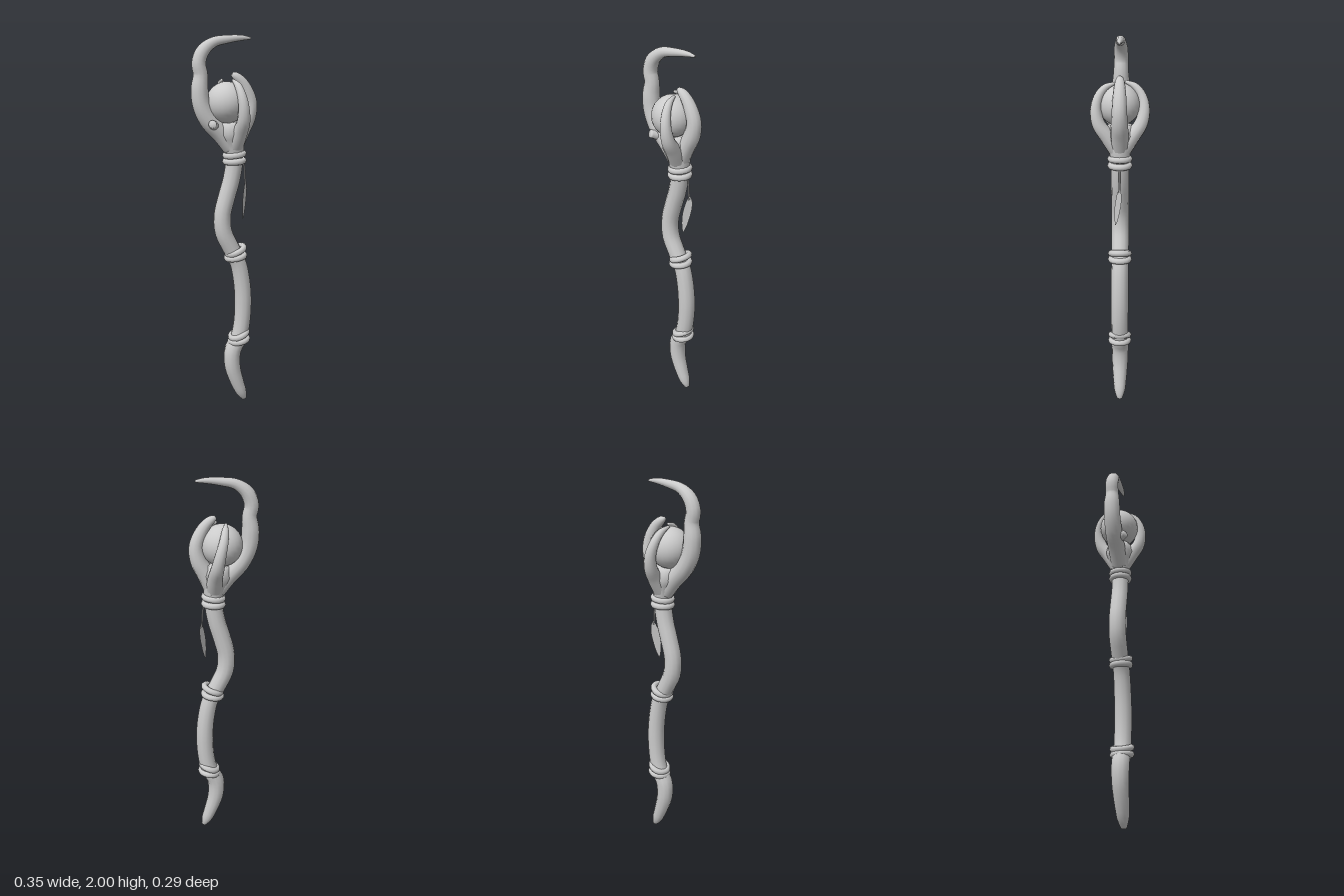
import * as THREE from 'three';

const mat = new THREE.MeshStandardMaterial({ color: 0xcccccc });
const thin = new THREE.MeshStandardMaterial({ color: 0xcccccc, side: THREE.DoubleSide });

// Capped tube through [x, y, z, radius] stations
function taperedTube(name, stations, steps, sides = 12) {
  const curve = new THREE.CatmullRomCurve3(stations.map(s => new THREE.Vector3(s[0], s[1], s[2])));
  const { normals, binormals } = curve.computeFrenetFrames(steps);
  const pos = [], idx = [], n = stations.length - 1, v = new THREE.Vector3();
  for (let i = 0; i <= steps; i++) {
    const u = i / steps, c = curve.getPointAt(u);
    const f = curve.getUtoTmapping(u) * n, k = Math.min(Math.floor(f), n - 1);
    const r = THREE.MathUtils.lerp(stations[k][3], stations[k + 1][3], f - k);
    for (let j = 0; j < sides; j++) {
      const a = (j / sides) * Math.PI * 2;
      v.copy(c).addScaledVector(normals[i], Math.cos(a) * r).addScaledVector(binormals[i], Math.sin(a) * r);
      pos.push(v.x, v.y, v.z);
      if (i < steps) {
        const p = i * sides + j, q = i * sides + (j + 1) % sides;
        idx.push(p, q, p + sides, q, q + sides, p + sides);
      }
    }
  }
  // End caps
  const s = curve.getPointAt(0), e = curve.getPointAt(1), c0 = pos.length / 3, last = steps * sides;
  pos.push(s.x, s.y, s.z, e.x, e.y, e.z);
  for (let j = 0; j < sides; j++) {
    const k = (j + 1) % sides;
    idx.push(c0, k, j, c0 + 1, last + j, last + k);
  }
  const g = new THREE.BufferGeometry();
  g.setAttribute('position', new THREE.Float32BufferAttribute(pos, 3));
  g.setIndex(idx);
  g.computeVertexNormals();
  const mesh = new THREE.Mesh(g, mat);
  mesh.name = name;
  return mesh;
}

// Pair of cord loops wrapped round the shaft
function binding(x, y, tilt) {
  const group = new THREE.Group();
  group.name = 'binding';
  [[-0.017, tilt * 0.4], [0.017, tilt]].forEach(([dy, t]) => {
    const ring = new THREE.Mesh(new THREE.TorusGeometry(0.047, 0.017, 8, 20), mat);
    ring.name = 'cordLoop';
    ring.rotation.set(Math.PI / 2, t, 0);
    ring.position.y = dy;
    group.add(ring);
  });
  group.position.set(x, y, 0);
  return group;
}

// Leaf-shaped feather hanging on a string
function feather() {
  const group = new THREE.Group();
  group.name = 'featherCharm';
  group.add(taperedTube('string', [[0.1, 1.38, 0, 0.004], [0.11, 1.32, 0, 0.004], [0.115, 1.24, 0, 0.004]], 8, 6));
  const shape = new THREE.Shape();
  shape.moveTo(0, 0);
  shape.bezierCurveTo(0.025, -0.01, 0.026, -0.07, 0.018, -0.12);
  shape.quadraticCurveTo(0.012, -0.18, -0.004, -0.21);
  shape.bezierCurveTo(-0.022, -0.17, -0.026, -0.1, -0.018, -0.06);
  shape.quadraticCurveTo(-0.014, -0.02, 0, 0);
  const vane = new THREE.Mesh(new THREE.ShapeGeometry(shape, 8), thin);
  vane.name = 'feather';
  vane.position.set(0.117, 1.26, 0);
  vane.rotation.set(0, Math.PI / 4, -0.13);
  group.add(vane);
  return group;
}

export function createModel() {
  const model = new THREE.Group();
  model.name = 'staff';

  // Crooked shaft, flaring into the claw
  model.add(taperedTube('shaft', [
    [0.118, 0.008, 0, 0.014], [0.1, 0.05, 0, 0.031], [0.07, 0.13, 0, 0.039],
    [0.046, 0.22, 0, 0.045], [0.048, 0.31, 0, 0.047], [0.082, 0.38, 0, 0.046],
    [0.1, 0.47, 0, 0.046], [0.106, 0.6, 0, 0.047], [0.096, 0.72, 0, 0.046],
    [0.074, 0.82, 0, 0.045], [0.03, 0.91, 0, 0.046], [-0.006, 0.99, 0, 0.047],
    [-0.012, 1.08, 0, 0.046], [0.012, 1.18, 0, 0.046], [0.038, 1.27, 0, 0.046],
    [0.054, 1.38, 0, 0.046], [0.046, 1.46, 0, 0.06], [0.035, 1.52, 0, 0.078], [0.03, 1.57, 0, 0.06],
  ], 60));

  // Cord bindings
  [[0.054, 1.382, 0.12], [0.062, 0.865, 0.4], [0.083, 0.385, 0.4]].forEach(b => model.add(binding(...b)));

  // Orb held by the claw
  const orb = new THREE.Mesh(new THREE.SphereGeometry(0.105, 24, 16), mat);
  orb.name = 'orb';
  orb.position.set(0.01, 1.667, 0.005);
  model.add(orb);

  // Long hooked horn
  model.add(taperedTube('hookHorn', [
    [0.04, 1.43, 0, 0.045], [-0.02, 1.51, 0, 0.048], [-0.085, 1.58, 0, 0.048],
    [-0.124, 1.66, 0, 0.046], [-0.132, 1.74, 0, 0.045], [-0.126, 1.81, 0, 0.037],
    [-0.136, 1.86, 0, 0.037], [-0.115, 1.92, 0, 0.035], [-0.06, 1.963, 0, 0.026],
    [0.02, 1.979, 0, 0.02], [0.09, 1.985, 0, 0.014], [0.138, 1.983, 0, 0.006],
  ], 44));

  // Three shorter claws: side, front and back
  model.add(taperedTube('sideClaw', [
    [0.05, 1.43, 0, 0.045], [0.09, 1.52, 0, 0.045], [0.126, 1.59, 0, 0.042],
    [0.138, 1.66, 0, 0.037], [0.12, 1.72, 0, 0.034], [0.09, 1.77, 0, 0.028],
    [0.06, 1.797, 0, 0.022], [0.04, 1.808, 0, 0.01],
  ], 26));
  model.add(taperedTube('frontClaw', [
    [0.05, 1.44, 0.01, 0.045], [0.062, 1.52, 0.065, 0.038], [0.066, 1.58, 0.105, 0.034],
    [0.062, 1.65, 0.118, 0.028], [0.054, 1.71, 0.106, 0.023], [0.045, 1.755, 0.075, 0.018],
    [0.037, 1.778, 0.025, 0.007],
  ], 26));
  model.add(taperedTube('backClaw', [
    [0.05, 1.44, -0.01, 0.045], [0.052, 1.52, -0.065, 0.038], [0.045, 1.58, -0.105, 0.034],
    [0.032, 1.65, -0.12, 0.028], [0.016, 1.71, -0.108, 0.023], [0.004, 1.755, -0.075, 0.018],
    [-0.006, 1.778, -0.025, 0.007],
  ], 26));

  // Broken twig stub at the foot of the horn
  model.add(taperedTube('twigStub', [
    [-0.06, 1.55, 0.02, 0.026], [-0.075, 1.56, 0.045, 0.023], [-0.085, 1.567, 0.064, 0.02],
  ], 6, 10));

  model.add(feather());
  return model;
}
